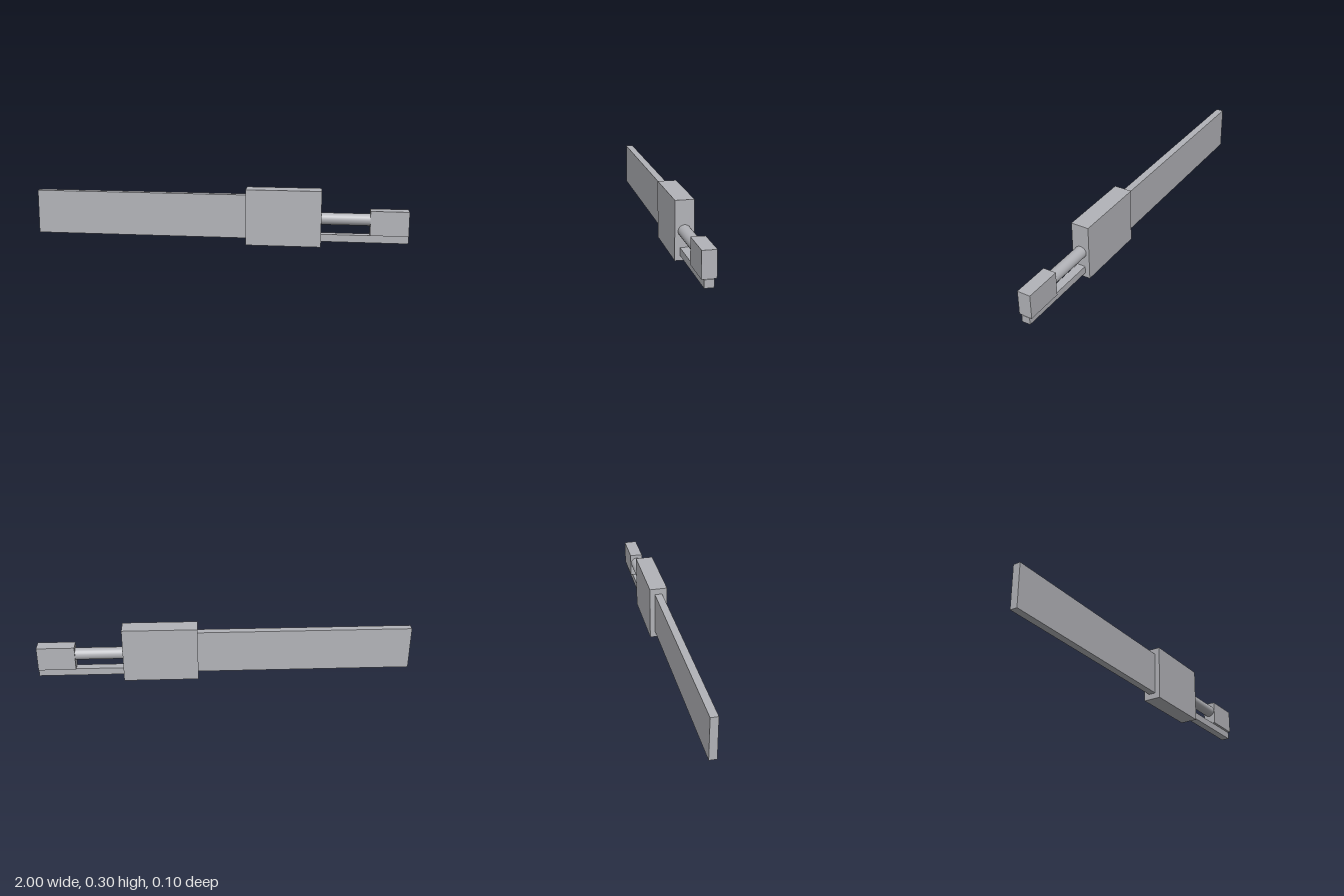
import * as THREE from 'three';

export function createModel() {
  const group = new THREE.Group();
  const grey = new THREE.MeshStandardMaterial({ color: 0xb2b3b8 });
  grey.name = 'plain grey';

  // Box given by its x range, y range and full depth, centred on z = 0
  function addBox(name, x0, x1, y0, y1, depth) {
    const mesh = new THREE.Mesh(new THREE.BoxGeometry(x1 - x0, y1 - y0, depth), grey);
    mesh.position.set((x0 + x1) / 2, (y0 + y1) / 2, 0);
    mesh.name = name;
    group.add(mesh);
  }

  addBox('blade', -1, 0.145, 0.032, 0.267, 0.04);
  addBox('body', 0.145, 0.545, 0, 0.3, 0.096);
  addBox('endBlock', 0.8, 1, 0.067, 0.198, 0.07);
  addBox('lowerRail', 0.545, 1, 0.026, 0.065, 0.045);

  // Round rod joining the body to the end block
  const rod = new THREE.Mesh(new THREE.CylinderGeometry(0.032, 0.032, 0.255, 24), grey);
  rod.rotation.z = Math.PI / 2;
  rod.position.set(0.6725, 0.146, 0);
  rod.name = 'rod';
  group.add(rod);

  return group;
}
